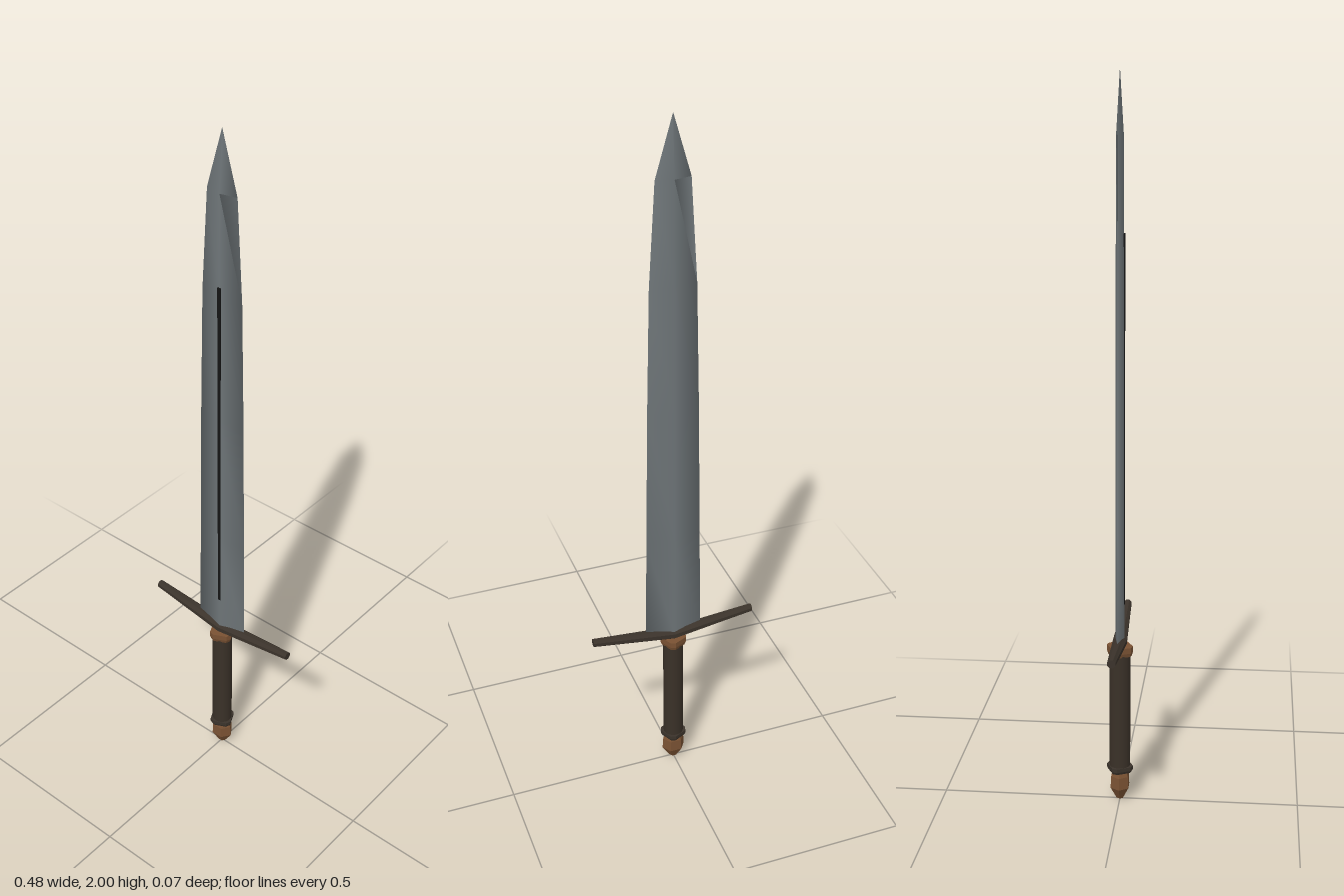
import * as THREE from 'three';

const mat = (name, color, extra = {}) => {
  const m = new THREE.MeshStandardMaterial({ color, ...extra });
  m.name = name;
  return m;
};

// Skin a stack of equal-length cross-section loops, capping both ends
function loft(loops) {
  const n = loops[0].length, index = [];
  for (let i = 0; i < loops.length - 1; i++)
    for (let j = 0; j < n; j++) {
      const a = i * n + j, b = i * n + (j + 1) % n;
      index.push(a, b, a + n, b, b + n, a + n);
    }
  const last = (loops.length - 1) * n;
  for (let j = 1; j < n - 1; j++) {
    index.push(0, j + 1, j);
    index.push(last, last + j, last + j + 1);
  }
  const g = new THREE.BufferGeometry();
  g.setAttribute('position', new THREE.Float32BufferAttribute(loops.flat(2), 3));
  g.setIndex(index);
  return g;
}

export function createModel() {
  const steel = mat('steel', 0x70777a);
  const groove = mat('groove black', 0x141414);
  const darkIron = mat('dark iron', 0x3b332b);
  const leather = mat('dark leather', 0x3a3128);
  const bronze = mat('bronze', 0x7a5233);

  const group = new THREE.Group();
  const add = (name, geometry, material) => {
    const mesh = new THREE.Mesh(geometry, material);
    mesh.name = name;
    group.add(mesh);
    return mesh;
  };

  // Blade: diamond section, [height, half width, half thickness]
  const blade = loft([
    [0.465, 0.083, 0.013], [0.8, 0.078, 0.0125], [1.2, 0.072, 0.012],
    [1.56, 0.064, 0.011], [1.84, 0.047, 0.01], [2, 0.0005, 0.0005],
  ].map(([y, w, t]) => [[w, y, 0], [0, y, -t], [-w, y, 0], [0, y, t]]));
  blade.computeVertexNormals();
  add('blade', blade, steel);

  // Groove line on the front ridge
  const line = add('bladeGroove', new THREE.BoxGeometry(0.009, 1.01, 0.004), groove);
  line.position.set(0, 1.085, 0.0115);

  // Crossguard: octagonal section, thick in the middle, arms swept upward
  const guard = loft([
    [-0.24, 0.498, 0.011, 0.011], [0, 0.47, 0.016, 0.019], [0.24, 0.498, 0.011, 0.011],
  ].map(([x, y, h, d]) => Array.from({ length: 8 }, (_, i) => {
    const a = (i + 0.5) * Math.PI / 4, k = 1 / Math.cos(Math.PI / 8);
    return [x, y + Math.cos(a) * h * k, Math.sin(a) * d * k];
  }))).toNonIndexed();
  guard.computeVertexNormals();
  add('crossguard', guard, darkIron);

  // Grip
  add('grip', new THREE.CylinderGeometry(0.029, 0.029, 0.35, 16), leather).position.y = 0.27;

  // Collars: turned square blocks with clipped corners
  const collar = (name, y, height, r, material) => {
    const loop = (h, s) => Array.from({ length: 8 }, (_, i) => {
      const a = -(Math.floor(i / 2) * Math.PI / 2 + (i % 2 ? 0.2 : -0.2)) + 1.24;
      return [Math.cos(a) * r * s, h, -Math.sin(a) * r * s];
    }).reverse();
    const g = loft([loop(y, 0.9), loop(y + height * 0.4, 1), loop(y + height, 1)]).toNonIndexed();
    g.computeVertexNormals();
    add(name, g, material).material.side = THREE.DoubleSide;
  };
  collar('upperCollar', 0.432, 0.027, 0.037, bronze);
  collar('lowerCollar', 0.085, 0.018, 0.037, darkIron);

  // Pommel: faceted knob, narrower front to back
  const profile = [[0, 0], [0.012, 0.003], [0.034, 0.038], [0.032, 0.072], [0.025, 0.088], [0, 0.088]]
    .map(([r, y]) => new THREE.Vector2(r, y));
  const knob = new THREE.LatheGeometry(profile, 6, Math.PI / 6).toNonIndexed();
  knob.rotateY(Math.PI / 3);
  knob.scale(1, 1, 0.85);
  knob.computeVertexNormals();
  add('pommel', knob, bronze);

  return group;
}
